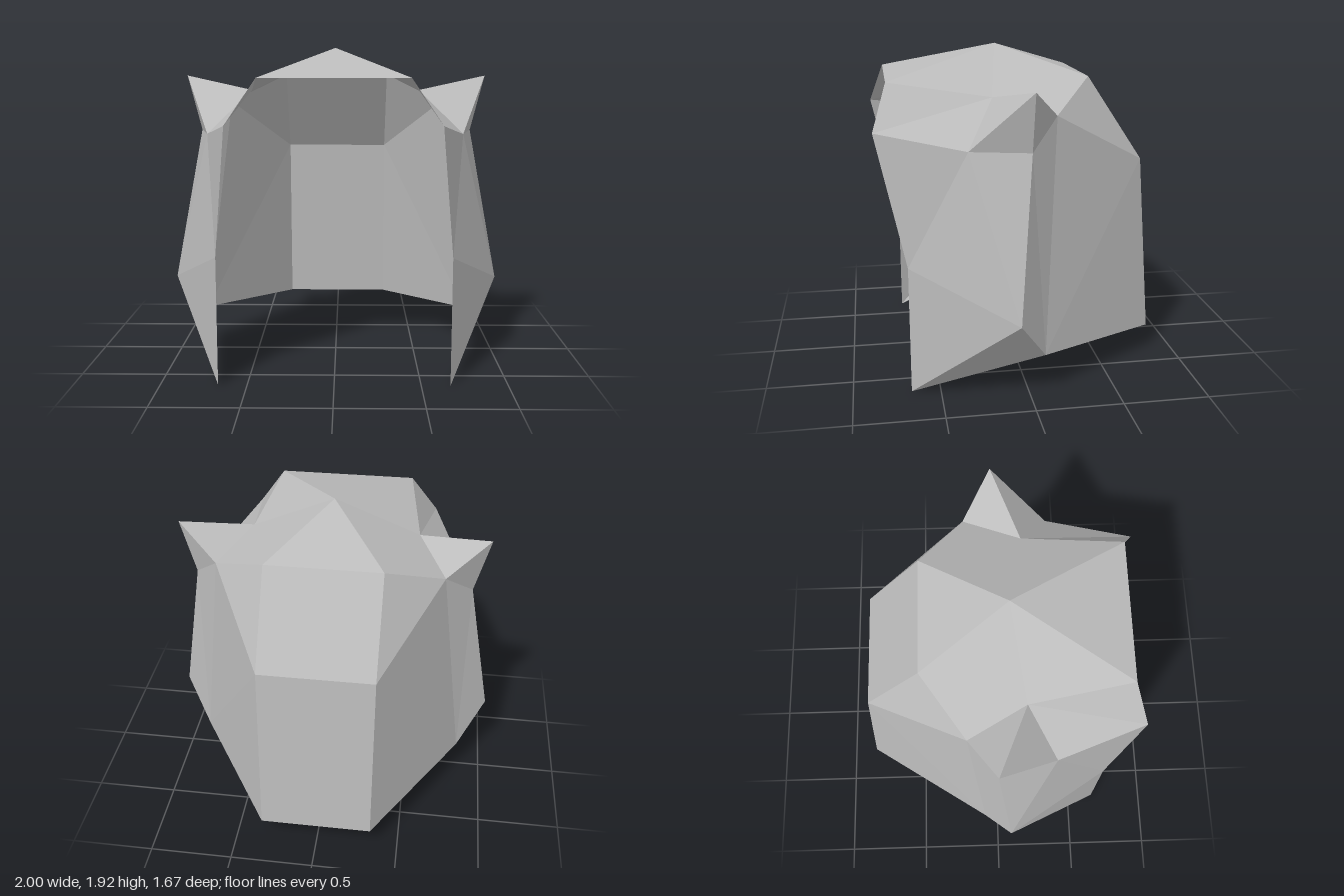
import * as THREE from 'three';

// Corner points of the left (+x) half; a lower-case letter means the mirrored point
const P = {
  T: [0, 1.917, 0.083],       // crown peak
  F: [0.417, 1.75, 0.75],     // fringe top
  G: [0.583, 1.5, 0.833],     // fringe corner
  I: [0.5, 1.667, 0.167],     // ear base, inner
  H: [0.75, 1.417, 0.333],    // ear base, front
  J: [0.833, 1.417, 0],       // ear base, outer
  K: [0.667, 1.583, -0.167],  // ear base, rear
  E: [0.917, 1.75, 0],        // ear tip
  Q: [0.667, 0.75, 0.667],    // lock front edge
  N: [0.667, 0, 0.667],       // lock tip
  M: [1, 0.5, 0.083],         // lock outer corner
  L: [0.833, 0.25, -0.083],   // side hem
  B: [0.333, 1.75, -0.417],   // crown rear
  C: [0.333, 1.25, -0.75],    // back bend
  D: [0.333, 0.167, -0.833],  // back hem
};

function point(letter) {
  const [x, y, z] = P[letter.toUpperCase()];
  return [letter === letter.toUpperCase() ? x : -x, y, z];
}

// Flat-faceted sheet from faces spelled as corner letters, counter-clockwise from outside
function sheet(name, faces, material, mirrored = false) {
  const positions = [];
  for (const face of faces.split(' ')) {
    const corners = [...face].map(point);
    if (mirrored) {
      corners.forEach((c) => { c[0] = -c[0]; });
      corners.reverse();
    }
    for (let i = 1; i < corners.length - 1; i++) {
      positions.push(...corners[0], ...corners[i], ...corners[i + 1]);
    }
  }
  const geometry = new THREE.BufferGeometry();
  geometry.setAttribute('position', new THREE.Float32BufferAttribute(positions, 3));
  geometry.computeVertexNormals();
  const mesh = new THREE.Mesh(geometry, material);
  mesh.name = name;
  return mesh;
}

export function createModel() {
  const group = new THREE.Group();
  group.name = 'earedHair';
  const grey = new THREE.MeshStandardMaterial({ color: 0xbcbcbc, side: THREE.DoubleSide, flatShading: true });
  grey.name = 'grey';

  // Middle strips spanning both halves
  group.add(sheet('crown', 'TfF TBb', grey));
  group.add(sheet('backPanel', 'BCcb CDdc', grey));

  // Parts repeated on each side
  const sideParts = {
    CrownSide: 'TFI TIKB',
    Fringe: 'IFG IGH',
    Ear: 'IHE KIE EHJ KEJ',
    FrontLock: 'HGQ HQM HMJ MQN MNL',
    SidePanel: 'JML JLK KLC LDC KCB',
  };
  for (const side of ['left', 'right']) {
    for (const [part, faces] of Object.entries(sideParts)) {
      group.add(sheet(side + part, faces, grey, side === 'right'));
    }
  }
  return group;
}
